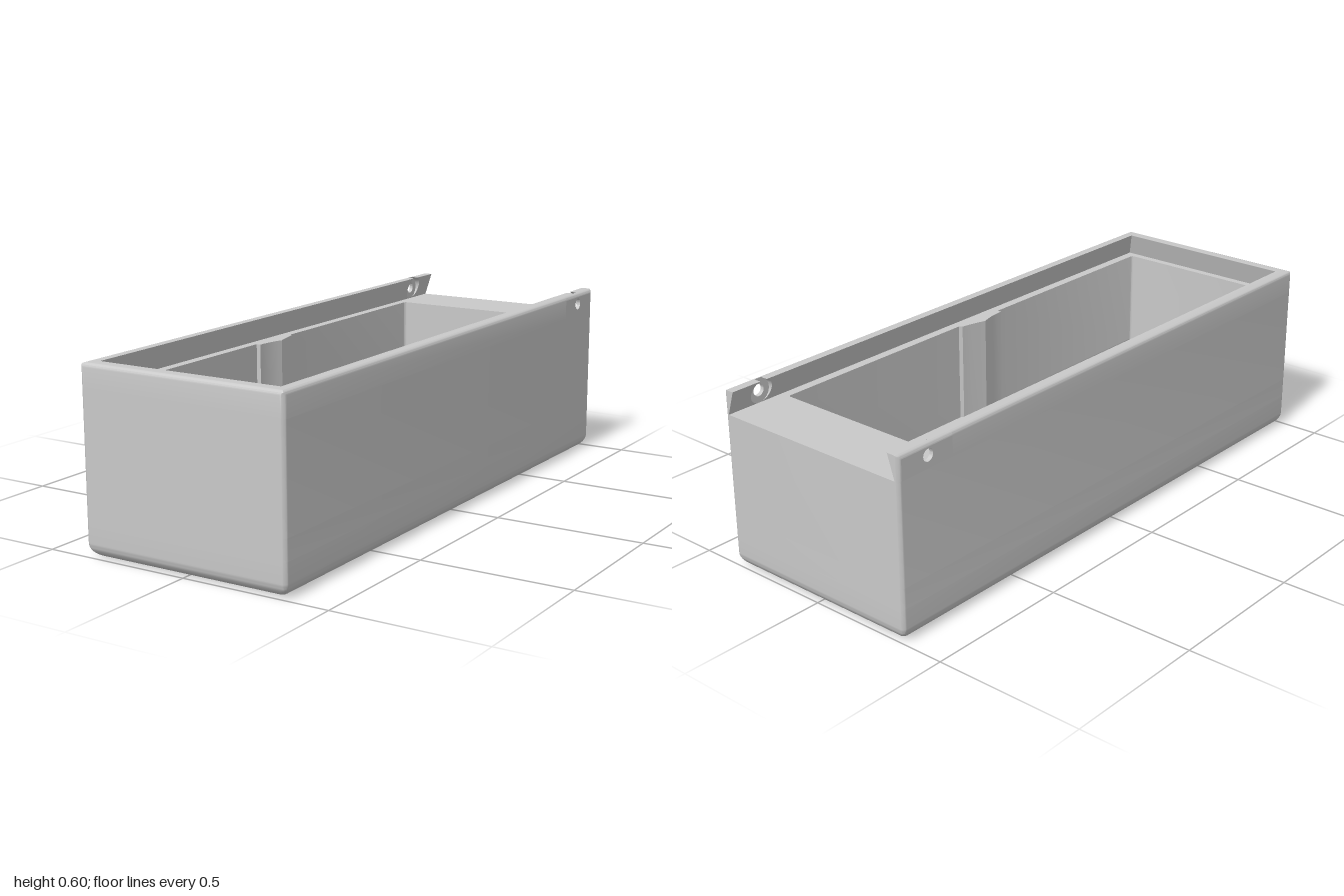
import * as THREE from 'three';
import { toCreasedNormals } from 'three/addons/utils/BufferGeometryUtils.js';

const W = 0.36, H = 0.595, R = 0.014;        // half width, height, small edge radius
const LEDGE = 0.515, STEP = 0.178, FLOOR = 0.11;
const CX = 0.315, CZ0 = -0.79, CZ1 = 0.955;  // cavity half width, back and front
const LIP = 0.32, ROOT = 0.346;              // lid groove half width at top and bottom
const BACK = -0.986, SEG = -0.78;            // ends of the drilled rail section
const q = Math.PI / 2;

// Points of an arc around (cx, cz)
function arc(cx, cz, r, a0, a1, n) {
  return Array.from({ length: n + 1 }, (_, i) => {
    const a = a0 + (a1 - a0) * i / n;
    return [cx + r * Math.cos(a), cz + r * Math.sin(a)];
  });
}

// Rounded rectangle in plan, from x = -w..w and z0..z1
function roundRect(w, z0, z1, r) {
  return [
    ...arc(w - r, z1 - r, r, 0, q, 8), ...arc(-w + r, z1 - r, r, q, 2 * q, 8),
    ...arc(-w + r, z0 + r, r, 2 * q, 3 * q, 8), ...arc(w - r, z0 + r, r, 3 * q, 4 * q, 8),
  ];
}

// Shape with a counter-clockwise contour, so that hole walls face inwards
function makeShape(outline, hole, s) {
  const toVectors = (pts) => pts.map(([a, b]) => new THREE.Vector2(a, s * b));
  const contour = toVectors(outline);
  if (THREE.ShapeUtils.isClockWise(contour)) contour.reverse();
  const shape = new THREE.Shape(contour);
  if (hole) shape.holes.push(new THREE.Path(toVectors(hole)));
  return shape;
}

// Extrude a plan outline (x, z) upwards through the given heights;
// rule(x, z, level) may move each vertex sideways
function planExtrude(outline, levels, hole, rule) {
  const steps = levels.length - 1;
  const g = new THREE.ExtrudeGeometry(makeShape(outline, hole, -1),
    { depth: steps, steps, bevelEnabled: false });
  g.rotateX(-q);
  const p = g.attributes.position;
  for (let i = 0; i < p.count; i++) {
    const k = Math.round(p.getY(i));
    const [x, z] = rule ? rule(p.getX(i), p.getZ(i), k) : [p.getX(i), p.getZ(i)];
    p.setXYZ(i, x, levels[k], z);
  }
  return toCreasedNormals(g, 0.5);
}

// Extrude a side outline (-z, y) across x; rule(x, y) may move each vertex in x
function sideExtrude(outline, [x0, x1], hole, rule) {
  const g = new THREE.ExtrudeGeometry(makeShape(outline, hole, 1),
    { depth: x1 - x0, bevelEnabled: false });
  g.rotateY(q).translate(x0, 0, 0);
  const p = g.attributes.position;
  if (rule) for (let i = 0; i < p.count; i++) p.setX(i, rule(p.getX(i), p.getY(i)));
  return toCreasedNormals(g, 0.5);
}

export function createModel() {
  const group = new THREE.Group();
  const material = new THREE.MeshStandardMaterial({ color: 0xc9c9c9 });
  material.name = 'light grey';
  const add = (name, geometry) => {
    const mesh = new THREE.Mesh(geometry, material);
    mesh.name = name;
    group.add(mesh);
  };
  const outer = roundRect(W, -1, 1, R);

  // Base with a rounded lower edge; its top is the lower floor
  const br = 0.045, n = 10;
  const baseLevels = [], inset = [];
  for (let i = 0; i <= n; i++) {
    const a = i / n * q;
    baseLevels.push(br * (1 - Math.cos(a)));
    inset.push(br * (1 - Math.sin(a)));
  }
  baseLevels.push(FLOOR);
  inset.push(0);
  add('base', planExtrude(outer, baseLevels, null,
    (x, z, k) => [x * (W - inset[k]) / W, z * (1 - inset[k])]));

  // Raised rear floor with a half-round scoop cut into it
  const scoopR = 0.3, scoopZ = 0.18;
  const scoop = [
    ...arc(0, scoopZ, scoopR, -Math.PI, 0, 40),
    [CX, scoopZ], [CX, CZ1], [-CX, CZ1], [-CX, scoopZ],
  ];
  add('steppedFloor', planExtrude(outer, [FLOOR, STEP], scoop));

  // Upper walls, with a post on each side that follows the scoop
  const a0 = Math.asin(-0.1 / scoopR);
  const post = [
    [CX, -0.02], [0.305, -0.012], [0.299, 0.02],
    ...arc(0, scoopZ, scoopR, a0, 0, 6), [CX, scoopZ],
  ];
  const cr = 0.01;
  const cavity = [
    ...arc(CX - cr, CZ0 + cr, cr, -q, 0, 6), ...post,
    ...arc(CX - cr, CZ1 - cr, cr, 0, q, 6),
  ];
  const mirrored = cavity.map(([x, z]) => [-x, z]).reverse();
  add('wallsAndPosts', planExtrude(outer, [STEP, LEDGE], [...cavity, ...mirrored]));

  // Undercut rim around the lid groove, open at the back
  const rimLevels = [LEDGE], rimInset = [0];
  for (let i = 0; i <= 5; i++) {
    const a = i / 5 * q;
    rimLevels.push(H - R + R * Math.sin(a));
    rimInset.push(R * (1 - Math.cos(a)));
  }
  const under = (y) => (ROOT - LIP) * (H - y) / (H - LEDGE);
  const rimRule = (x, z, k) => {
    const s = Math.sign(x), u = under(rimLevels[k]);
    if (Math.abs(x) > 0.33 || z > 0.97) {
      return [s * Math.min(Math.abs(x), W - rimInset[k]), Math.min(z, 1 - rimInset[k])];
    }
    return [x + s * u, z > 0.9 ? z + u : z];
  };
  add('rim', planExtrude([
    [W, SEG], ...arc(W - R, 1 - R, R, 0, q, 8), ...arc(-W + R, 1 - R, R, q, 2 * q, 8),
    [-W, SEG], [-LIP, SEG], [-LIP, CZ1], [LIP, CZ1], [LIP, SEG],
  ], rimLevels, null, rimRule));

  // Drilled rail sections at the back: outer skin with a pin hole,
  // undercut inner part with a wider pocket that breaks the top
  const hz = 0.88, hy = 0.556, pocketR = 0.041;
  const pa = Math.asin((H - hy) / pocketR);
  const skin = [[-SEG, LEDGE], [-BACK, LEDGE], [-BACK, H - R], [-SEG, H - R]];
  const notched = [
    [-SEG, LEDGE], [-BACK, LEDGE], [-BACK, H],
    ...arc(hz, hy, pocketR, pa, -Math.PI - pa, 28), [-SEG, H],
  ];
  const pinHole = arc(hz, hy, 0.02, 0, 2 * Math.PI, 24).slice(0, -1);
  const crown = [[ROOT, SEG], [W, SEG], [W, BACK], [ROOT, BACK]];
  const tip = [[LIP, BACK], [LIP, -1], ...arc(W - R, -1 + R, R, -q, 0, 8)];
  for (const s of [-1, 1]) {
    const side = s > 0 ? 'left' : 'right';
    const span = (a, b) => [Math.min(s * a, s * b), Math.max(s * a, s * b)];
    const flip = (pts) => pts.map(([x, z]) => [s * x, z]);
    add(side + 'RailSkin', sideExtrude(skin, span(ROOT, W), pinHole));
    add(side + 'RailCrown', planExtrude(flip(crown), rimLevels.slice(1), null,
      (x, z, k) => rimRule(x, z, k + 1)));
    add(side + 'RailPocket', sideExtrude(notched, span(LIP, ROOT), null,
      (x, y) => (Math.abs(x) < 0.33 ? x + s * under(y) : x)));
    add(side + 'RailTip', planExtrude(flip(tip), rimLevels, null, rimRule));
  }
  return group;
}
